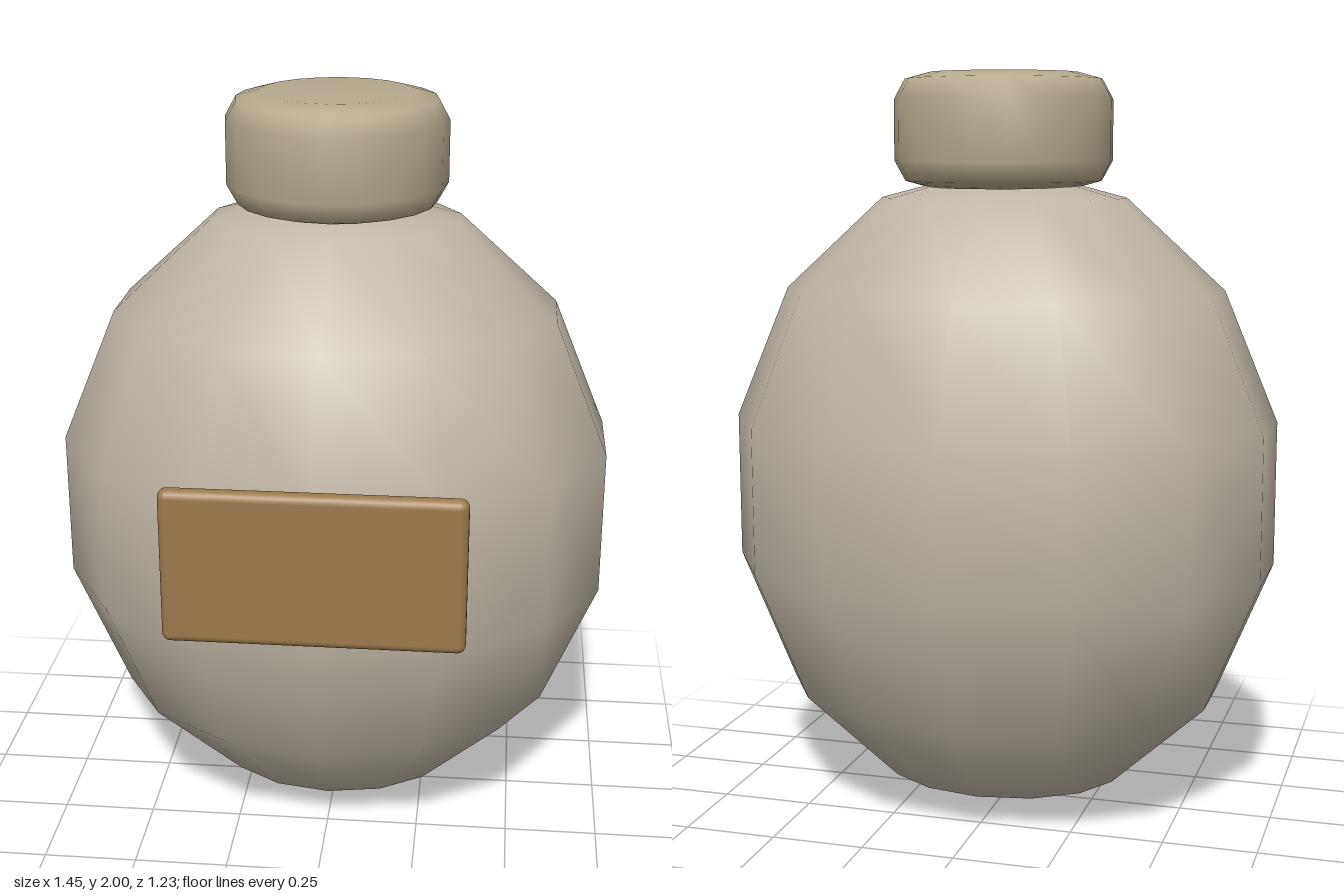
import * as THREE from 'three';
import { RoundedBoxGeometry } from 'three/addons/geometries/RoundedBoxGeometry.js';

const CENTRE_Z = -0.022;

function addPart(group, name, geometry, color) {
  const mesh = new THREE.Mesh(geometry, new THREE.MeshStandardMaterial({ color }));
  mesh.name = name;
  group.add(mesh);
  return mesh;
}

export function createModel() {
  const group = new THREE.Group();
  group.name = 'flask';

  // Egg-shaped body: a coarse, smooth-shaded sphere, flattened front to back
  const bodyGeometry = new THREE.SphereGeometry(1, 14, 7, Math.PI / 2);
  bodyGeometry.scale(0.765, 0.88, 0.61);
  addPart(group, 'body', bodyGeometry, 0xbfb5a5).position.set(0, 0.88, CENTRE_Z);

  // Stopper with rounded rims
  const profile = [
    [0, 1.7], [0.2, 1.7], [0.262, 1.717], [0.291, 1.77],
    [0.291, 1.93], [0.262, 1.983], [0.2, 2], [0, 2],
  ].map(([r, y]) => new THREE.Vector2(r, y));
  addPart(group, 'cap', new THREE.LatheGeometry(profile, 20), 0xb5a88e).position.z = CENTRE_Z;

  // Label plate on the front
  const plateGeometry = new RoundedBoxGeometry(0.76, 0.41, 0.048, 3, 0.022);
  addPart(group, 'labelPlate', plateGeometry, 0x9a7a4c).position.set(0, 0.935, 0.591);

  return group;
}
